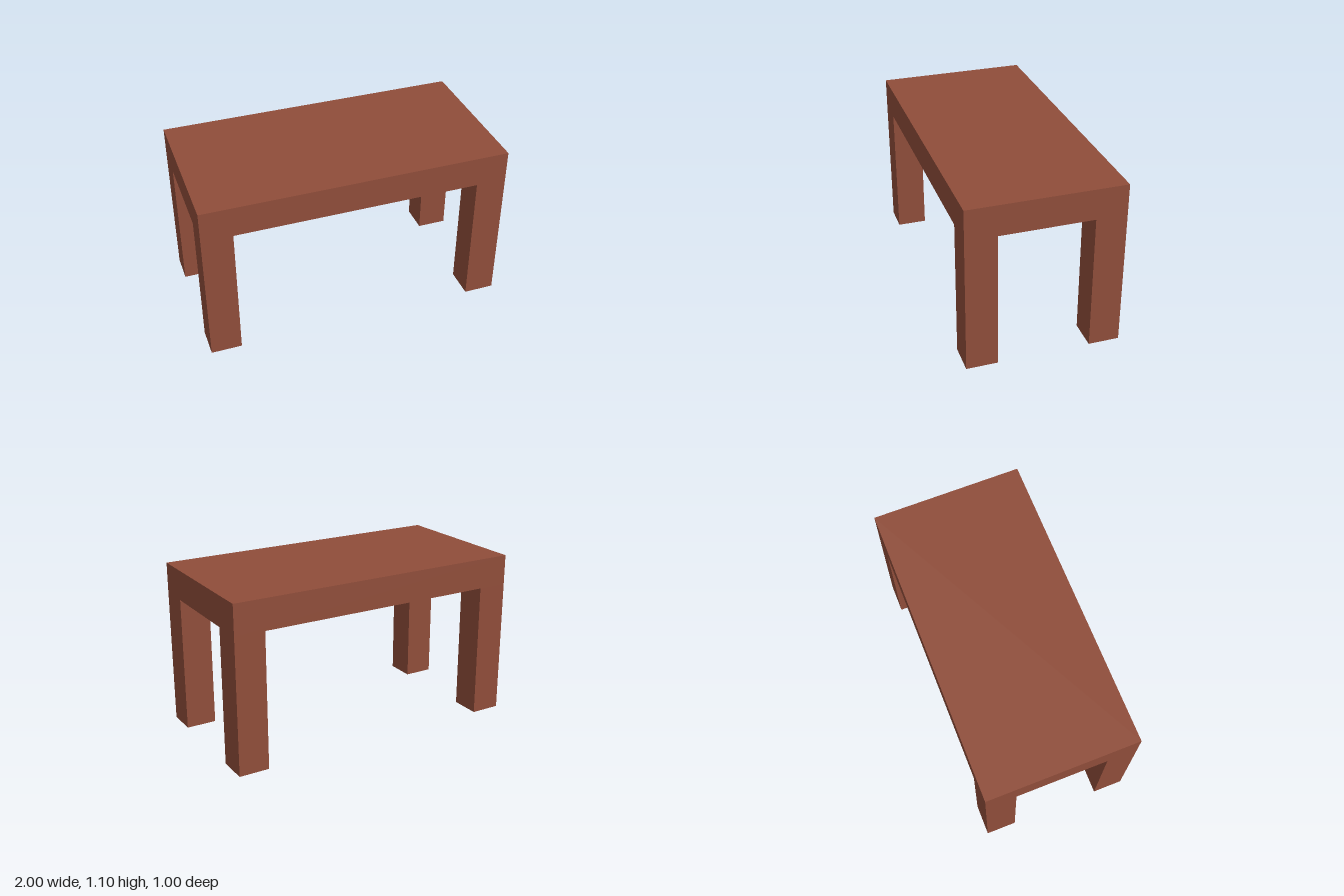
import * as THREE from 'three';

const LENGTH = 2, DEPTH = 1, HEIGHT = 1.1;
const TOP = 0.2; // tabletop thickness
const LEG = 0.2; // square leg width

export function createModel() {
  const model = new THREE.Group();
  model.name = 'table';

  const wood = new THREE.MeshStandardMaterial({ color: 0x8f4d3a });
  wood.name = 'reddish brown wood';

  // Solid slab top
  const tabletop = new THREE.Mesh(new THREE.BoxGeometry(LENGTH, TOP, DEPTH), wood);
  tabletop.name = 'tabletop';
  tabletop.position.y = HEIGHT - TOP / 2;
  model.add(tabletop);

  // Four square legs, flush with the corners of the top
  const legHeight = HEIGHT - TOP;
  const legGeometry = new THREE.BoxGeometry(LEG, legHeight, LEG);
  for (const [side, sx] of [['Left', 1], ['Right', -1]]) {
    for (const [end, sz] of [['front', 1], ['back', -1]]) {
      const leg = new THREE.Mesh(legGeometry, wood);
      leg.name = `${end}${side}Leg`;
      leg.position.set(sx * (LENGTH - LEG) / 2, legHeight / 2, sz * (DEPTH - LEG) / 2);
      model.add(leg);
    }
  }

  return model;
}
